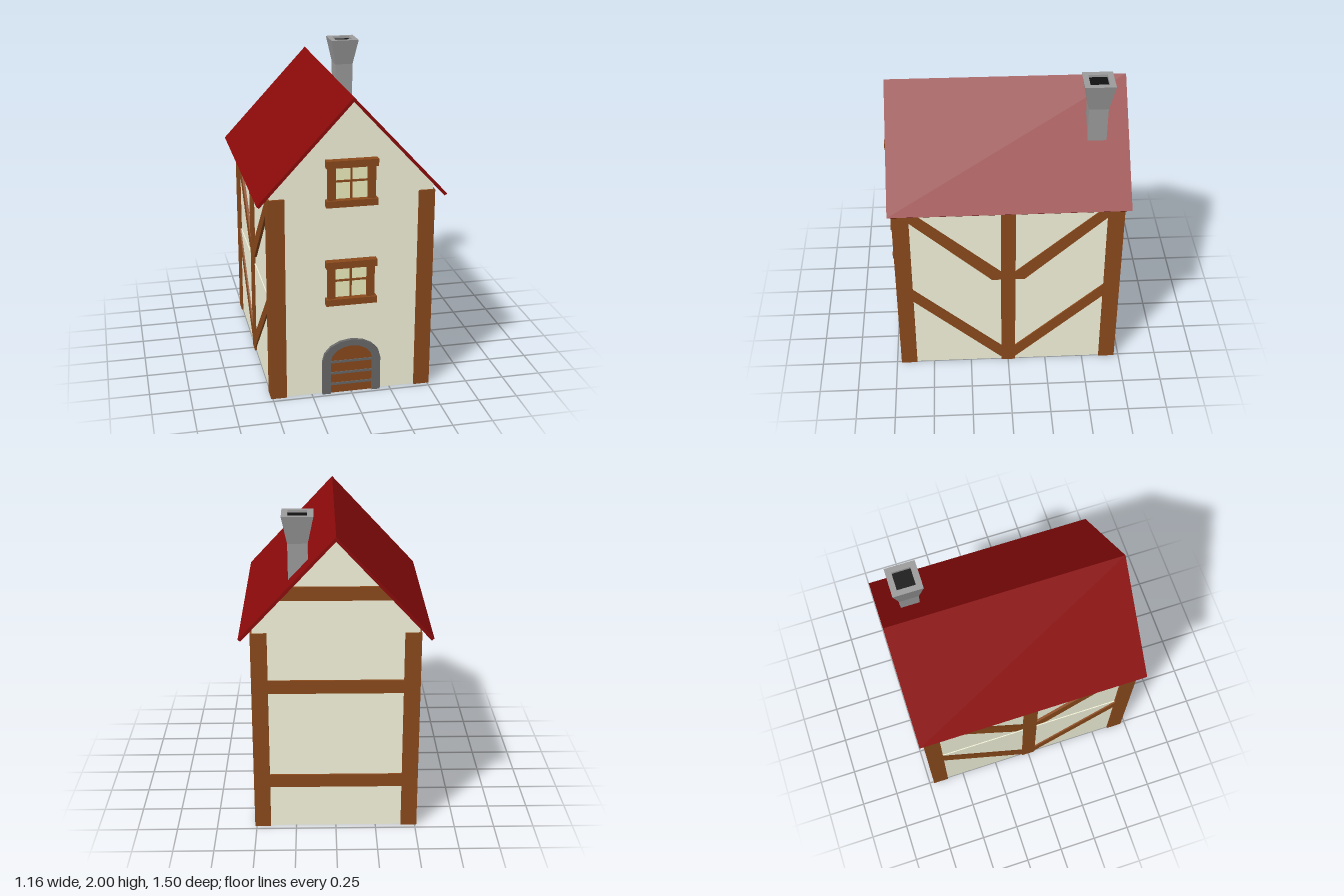
import * as THREE from 'three';

const paint = (color) => new THREE.MeshStandardMaterial({ color, flatShading: true });

export function createModel() {
  const house = new THREE.Group();
  house.name = 'timberHouse';

  const plaster = paint(0xf5f5dc), timber = paint(0x8b4a1c), tile = paint(0x8b0a0a);
  const stone = paint(0x696969), brick = paint(0x9c9c9c), glass = paint(0xf0f0c0), soot = paint(0x111111);

  const add = (name, geometry, material, parent = house) => {
    const mesh = new THREE.Mesh(geometry, material);
    mesh.name = name;
    parent.add(mesh);
    return mesh;
  };
  // Box given by its limits on each axis
  const box = (name, [x0, x1], [y0, y1], [z0, z1], material, parent) => {
    const mesh = add(name, new THREE.BoxGeometry(x1 - x0, y1 - y0, z1 - z0), material, parent);
    mesh.position.set((x0 + x1) / 2, (y0 + y1) / 2, (z0 + z1) / 2);
    return mesh;
  };
  const shape = (points) => new THREE.Shape(points.map(([x, y]) => new THREE.Vector2(x, y)));
  // Flat outline in x, y pulled from z0 to z1
  const slab = (name, outline, z0, z1, material, parent) => {
    const geometry = new THREE.ExtrudeGeometry(outline, { depth: z1 - z0, bevelEnabled: false });
    return add(name, geometry.translate(0, 0, z0), material, parent);
  };

  // Walls: two storeys, the upper one set slightly aside, and the gable
  const half = 0.5, depth = 0.708;
  box('lowerWalls', [-half, half], [0, 0.64], [-depth, depth], plaster);
  box('upperWalls', [-half + 0.006, half + 0.004], [0.64, 1.285], [-depth, depth], plaster);
  slab('gable', shape([[-half, 1.285], [half, 1.285], [half, 1.348], [0, 1.89], [-half, 1.348]]),
    -depth, depth, plaster);

  // Roof: a thin folded sheet
  slab('roof', shape([[0, 1.91], [-0.58, 1.286], [-0.565, 1.273], [0, 1.882], [0.565, 1.273], [0.58, 1.286]]),
    -0.75, 0.74, tile);

  // Corner posts
  for (const sx of [-1, 1]) for (const sz of [-1, 1]) {
    const post = box('cornerPost', [-0.05, 0.05], [0, 1.31], [-0.0525, 0.0525], timber);
    post.position.x = sx * 0.461;
    post.position.z = sz * 0.6675;
  }

  // Side framing: middle post and mirrored braces, outlines in (z, y)
  const upperBrace = [[0.62, 1.285], [0.62, 1.19], [0.105, 0.71], [0.03, 0.71], [0.03, 0.76]];
  const lowerBrace = [[0.62, 0.645], [0.62, 0.55], [0.03, 0.01], [0.03, 0.11]];
  for (const side of [-1, 1]) {
    const frame = new THREE.Group();
    frame.name = side > 0 ? 'leftFraming' : 'rightFraming';
    frame.rotation.y = side * Math.PI / 2;
    house.add(frame);
    box('middlePost', [-0.046, 0.046], [0, 1.3], [0.48, 0.512], timber, frame);
    for (const [name, points] of [['upperBrace', upperBrace], ['lowerBrace', lowerBrace]]) {
      for (const s of [-1, 1]) {
        slab(name, shape(points.map(([z, y]) => [s * z, y])), 0.48, 0.51, timber, frame);
      }
    }
  }

  // Back beams, the top one cut to the roof slope
  for (const y of [0.28, 0.92]) box('backBeam', [-0.43, 0.43], [y, y + 0.085], [-0.72, -0.69], timber);
  slab('gableBeam', shape([[-0.34, 1.515], [0.34, 1.515], [0.262, 1.6], [-0.262, 1.6]]), -0.72, -0.69, timber);

  // Windows
  for (const y of [0.615, 1.25]) {
    const win = new THREE.Group();
    win.name = 'window';
    win.position.set(-0.008, y, 0);
    house.add(win);
    box('sill', [-0.158, 0.158], [0, 0.042], [0.69, 0.755], timber, win);
    box('lintel', [-0.158, 0.158], [0.243, 0.287], [0.69, 0.755], timber, win);
    for (const x of [-0.122, 0.122]) {
      box('jamb', [x - 0.023, x + 0.023], [0.042, 0.243], [0.69, 0.742], timber, win);
    }
    box('pane', [-0.1, 0.1], [0.042, 0.243], [0.69, 0.714], glass, win);
    box('mullion', [-0.006, 0.006], [0.042, 0.243], [0.7, 0.724], timber, win);
    box('glazingBar', [-0.1, 0.1], [0.146, 0.158], [0.7, 0.722], timber, win);
  }

  // Door in a stone arch
  const arch = (w, spring, top) => {
    const points = [[w, 0]];
    for (let i = 0; i <= 8; i++) {
      const a = i * Math.PI / 8;
      points.push([w * Math.cos(a), spring + (top - spring) * Math.sin(a)]);
    }
    points.push([-w, 0]);
    return points;
  };
  const inner = arch(0.132, 0.225, 0.325);
  const outer = arch(0.185, 0.225, 0.365);
  slab('doorFrame', shape([...outer, ...inner.slice().reverse()]), 0.69, 0.73, stone);
  slab('door', shape(inner), 0.69, 0.717, timber);
  for (const y of [0.062, 0.137, 0.215]) {
    box('doorBand', [-0.132, 0.132], [y - 0.008, y + 0.008], [0.7, 0.721], stone);
  }

  // Chimney: square flared shaft with a sunken flue
  const r = Math.SQRT2;
  const profile = [[0.058, 1.55], [0.06, 1.83], [0.094, 2], [0.058, 2], [0.05, 1.9]];
  const shaft = new THREE.LatheGeometry(profile.map(([w, y]) => new THREE.Vector2(w * r, y)), 4)
    .rotateY(Math.PI / 4).toNonIndexed();
  shaft.computeVertexNormals();
  const chimney = new THREE.Group();
  chimney.name = 'chimney';
  chimney.position.set(0.223, 0, -0.552);
  house.add(chimney);
  add('shaft', shaft, brick, chimney);
  box('flue', [-0.057, 0.057], [1.9, 1.985], [-0.057, 0.057], soot, chimney);

  return house;
}
